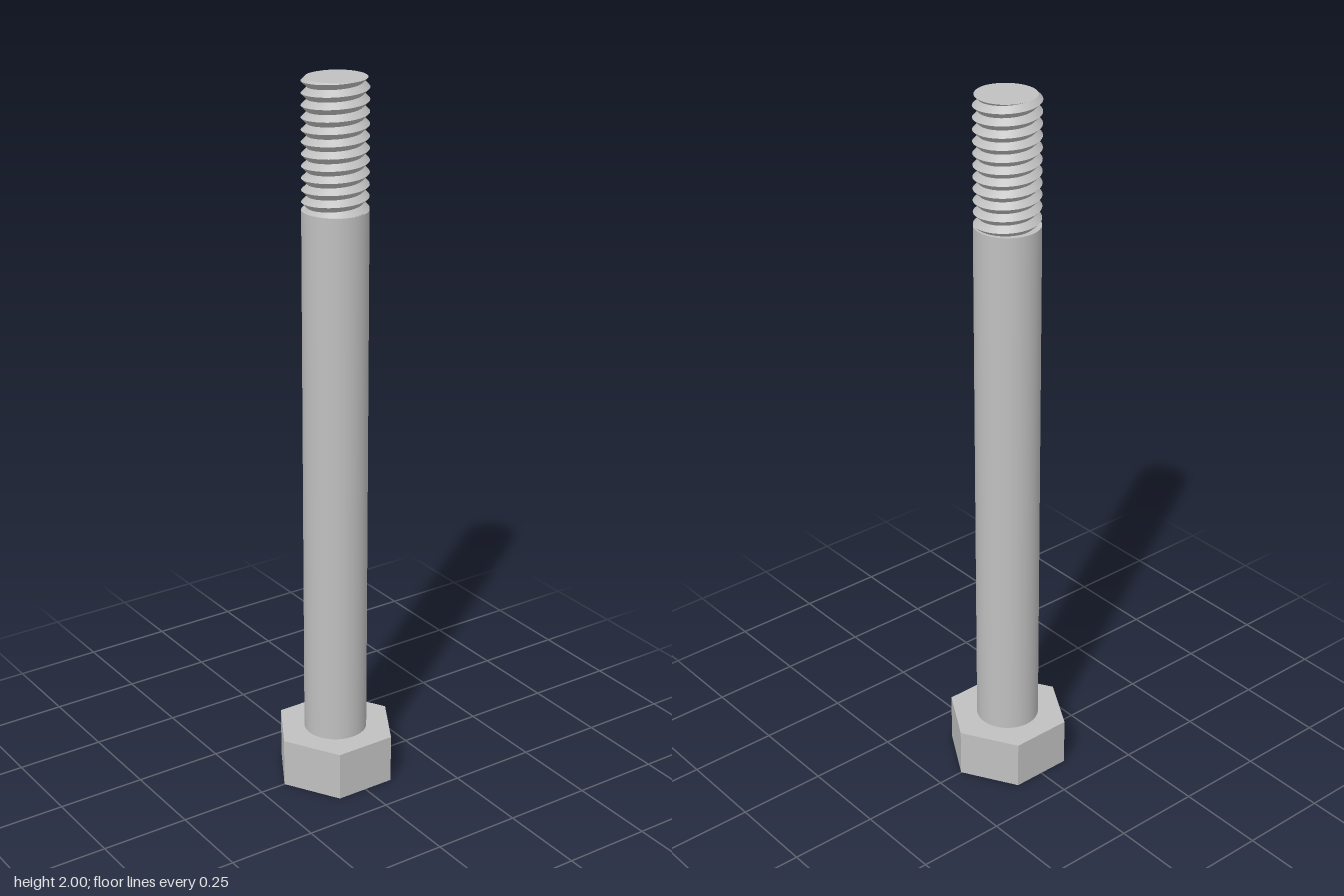
import * as THREE from 'three';

const RADIUS = 0.088, DEPTH = 0.0155; // thread crest radius and groove depth
const START = 1.655, TOP = 2, TURNS = 11, SEG = 48;
const PITCH = (TOP - START) / TURNS;

// Radius of the V thread at angle t (from +z towards +x) and height y
function threadRadius(t, y) {
  const phase = (y - TOP) / PITCH - t / (2 * Math.PI);
  return RADIUS - DEPTH * 2 * Math.abs(phase - Math.round(phase));
}

function geometryFrom(positions, index) {
  const g = new THREE.BufferGeometry();
  g.setAttribute('position', new THREE.Float32BufferAttribute(positions, 3));
  g.setIndex(index);
  g.computeVertexNormals();
  return g;
}

// One helical flank between two offsets from the crest, cut flat at both ends
function flank(from, to) {
  const positions = [], index = [], ys = [];
  const count = (TURNS + 2) * SEG;
  for (let i = 0; i <= count; i++) {
    const t = (i / SEG - TURNS - 1) * 2 * Math.PI;
    const crest = TOP + (PITCH * t) / (2 * Math.PI);
    for (const offset of [from, to]) {
      const y = THREE.MathUtils.clamp(crest + offset, START, TOP);
      const r = threadRadius(t, y);
      positions.push(r * Math.sin(t), y, r * Math.cos(t));
      ys.push(y);
    }
    if (i === 0) continue;
    const a = 2 * i - 2, b = a + 1, c = a + 2, d = a + 3;
    if (ys[b] > ys[a] || ys[d] > ys[c]) index.push(a, c, d, a, d, b);
  }
  return geometryFrom(positions, index);
}

// Flat tip following the thread's outline
function tip() {
  const positions = [0, TOP, 0], index = [];
  for (let i = 0; i < SEG; i++) {
    const t = (i / SEG) * 2 * Math.PI, r = threadRadius(t, TOP);
    positions.push(r * Math.sin(t), TOP, r * Math.cos(t));
    index.push(0, i + 1, ((i + 1) % SEG) + 1);
  }
  return geometryFrom(positions, index);
}

export function createModel() {
  const bolt = new THREE.Group();
  bolt.name = 'bolt';
  const steel = new THREE.MeshStandardMaterial({ color: 0xc0c0c0 });
  steel.name = 'steel grey';

  const add = (name, geometry, parent = bolt) => {
    const mesh = new THREE.Mesh(geometry, steel);
    mesh.name = name;
    parent.add(mesh);
    return mesh;
  };

  // Hexagonal head with corners on the x axis
  const hex = new THREE.CylinderGeometry(0.174, 0.174, 0.14, 6, 1, false, Math.PI / 6).toNonIndexed();
  hex.computeVertexNormals();
  add('head', hex).position.y = 0.07;

  // Plain shank
  const length = START - 0.14;
  add('shank', new THREE.CylinderGeometry(RADIUS, RADIUS, length, 64)).position.y = 0.14 + length / 2;

  // Threaded end
  const thread = new THREE.Group();
  thread.name = 'thread';
  bolt.add(thread);
  add('threadUpperFlank', flank(0, PITCH / 2), thread);
  add('threadLowerFlank', flank(-PITCH / 2, 0), thread);
  add('threadTip', tip(), thread);

  return bolt;
}
